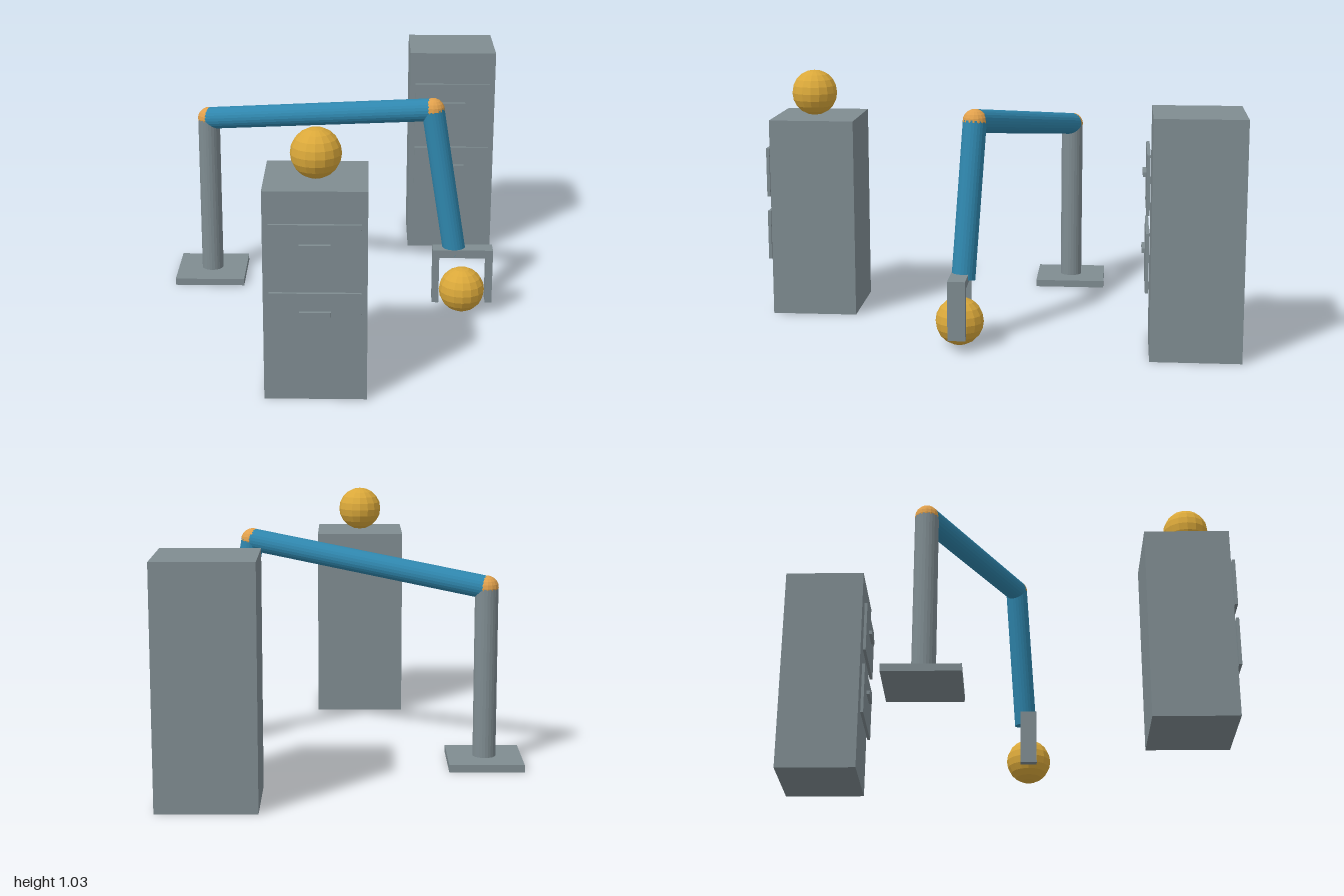
import * as THREE from 'three';

export function createModel() {
  const model = new THREE.Group();
  const paint = (name, color, flat = true) => {
    const m = new THREE.MeshStandardMaterial({ color, flatShading: flat });
    m.name = name;
    return m;
  };
  const grey = paint('grey', 0x7f8c91);
  const blue = paint('blue', 0x2f86ad);
  const gold = paint('gold', 0xdaa83a);
  const orange = paint('orange', 0xe0a04c);

  const add = (parent, name, geometry, material, x, y, z) => {
    const mesh = new THREE.Mesh(geometry, material);
    mesh.name = name;
    mesh.position.set(x, y, z);
    parent.add(mesh);
    return mesh;
  };
  const box = (parent, name, w, h, d, x, y, z) =>
    add(parent, name, new THREE.BoxGeometry(w, h, d), grey, x, y, z);
  const ball = (parent, name, r, material, p) =>
    add(parent, name, new THREE.SphereGeometry(r, 16, 10), material, ...p);

  // Cylinder running between two points
  const R = 0.048;
  const rod = (parent, name, a, b, material) => {
    const from = new THREE.Vector3(...a), to = new THREE.Vector3(...b);
    const dir = to.clone().sub(from);
    const mid = from.clone().addScaledVector(dir, 0.5);
    const mesh = add(parent, name, new THREE.CylinderGeometry(R, R, dir.length(), 24),
      material, mid.x, mid.y, mid.z);
    mesh.quaternion.setFromUnitVectors(new THREE.Vector3(0, 1, 0), dir.normalize());
  };

  // Jointed arm on its stand
  const arm = new THREE.Group();
  arm.name = 'robotArm';
  model.add(arm);
  const foot = [-0.572, 0.015, -0.293];
  const shoulder = [-0.572, 0.739, -0.293];
  const elbow = [0.405, 0.888, 0.064];
  const wrist = [0.508, 0.261, 0.102];
  box(arm, 'basePlate', 0.308, 0.03, 0.308, ...foot);
  rod(arm, 'post', foot, shoulder, grey);
  rod(arm, 'upperArm', shoulder, elbow, blue);
  rod(arm, 'forearm', elbow, wrist, blue);
  ball(arm, 'shoulderJoint', R + 0.001, orange, shoulder);
  ball(arm, 'elbowJoint', R + 0.001, orange, elbow);

  // Gripper: crossbar with two fingers, holding a ball
  const gripper = new THREE.Group();
  gripper.name = 'gripper';
  gripper.position.set(0.541, 0, 0.114);
  arm.add(gripper);
  box(gripper, 'crossbar', 0.256, 0.035, 0.071, 0, 0.2725, 0);
  for (const side of [-1, 1])
    box(gripper, 'finger', 0.028, 0.205, 0.071, side * 0.114, 0.1525, 0);
  ball(model, 'heldBall', 0.0975, gold, [0.541, 0.0985, 0.114]);

  // Cabinet with drawer fronts: each drawer is [centre height, handle height]
  const cabinet = (name, x, z, height, drawerHeight, drawers) => {
    const group = new THREE.Group();
    group.name = name;
    group.position.set(x, 0, z); // z is the front face of the body
    model.add(group);
    box(group, 'body', 0.392, height, 0.358, 0, height / 2, -0.179);
    for (const [y, handleY] of drawers) {
      box(group, 'drawerFront', 0.345, drawerHeight, 0.013, 0, y, 0.0145);
      box(group, 'drawerHandle', 0.118, 0.018, 0.014, 0, handleY, 0.028);
    }
  };
  cabinet('frontCabinet', -0.061, 0.965, 0.84, 0.209, [[0.612, 0.632], [0.34, 0.364]]);
  cabinet('backCabinet', 0.525, -0.642, 0.95, 0.235, [[0.69, 0.712], [0.385, 0.41]]);
  ball(model, 'cabinetBall', 0.0975, gold, [-0.061, 0.9375, 0.805]);

  return model;
}
